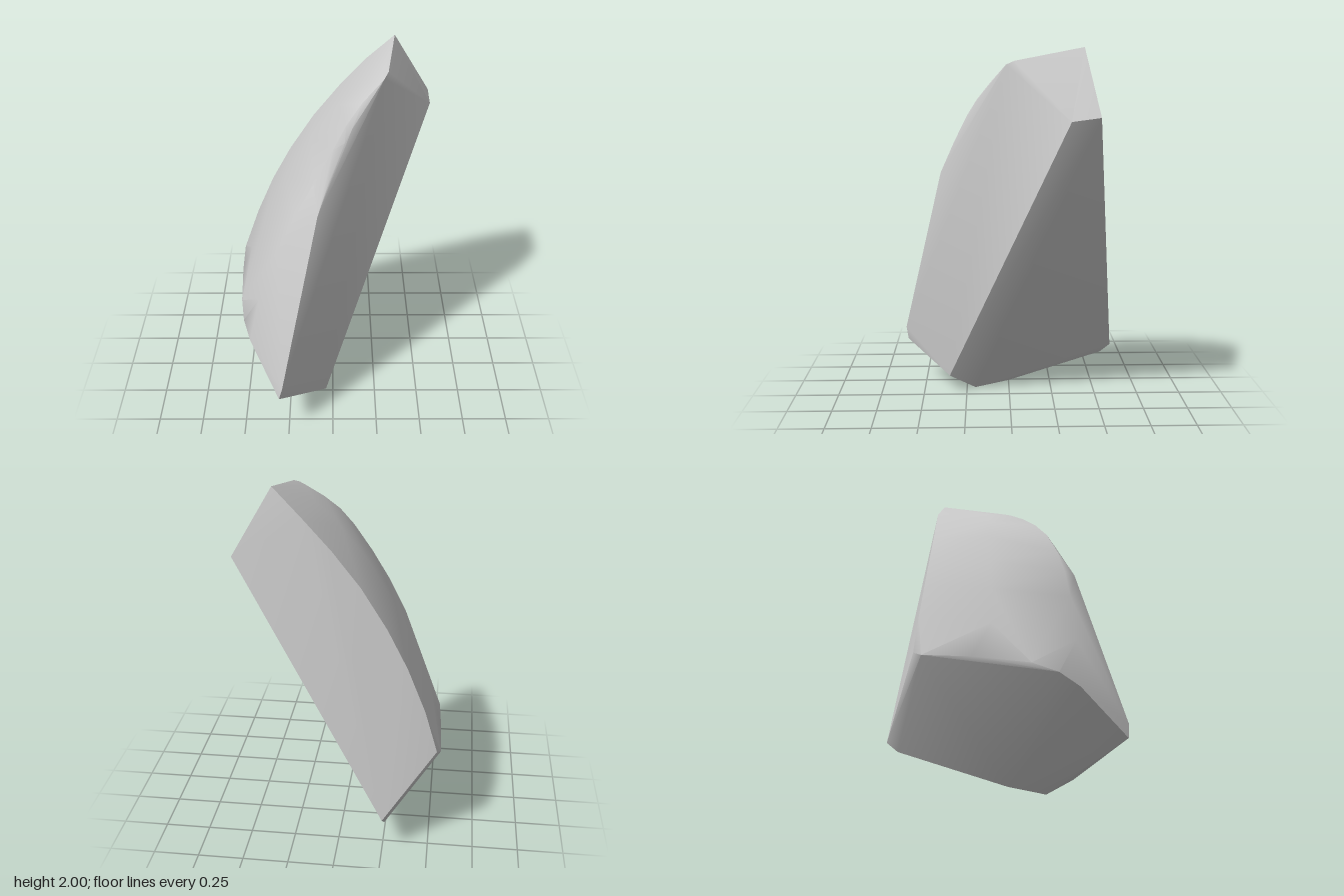
import * as THREE from 'three';
import { toCreasedNormals } from 'three/addons/utils/BufferGeometryUtils.js';
import { ConvexGeometry } from 'three/addons/geometries/ConvexGeometry.js';

// Leaning stone shard: a convex body given by its corners and curved ridges.
const corners = [
  // sloped tip
  [0.34, 2.0, -0.38], [0.545, 1.65, -0.45], [0.545, 1.63, -0.3], [0.29, 1.93, -0.02], [0.268, 1.91, 0.025],
  // foot
  [-0.25, 0.22, -0.618], [-0.26, 0.17, -0.56], [-0.18, 0.02, 0], [-0.115, 0, 0.2], [-0.04, 0.1, 0.35],
  [-0.28, 0.33, 0.62], [-0.3, 0.25, 0.61],
  // lower rim of the curved side
  [-0.53, 0.6, -0.49], [-0.55, 0.58, -0.45], [-0.545, 0.58, -0.2], [-0.53, 0.56, 0.1], [-0.51, 0.52, 0.24], [-0.47, 0.46, 0.35],
];
const backRidge = [[0.18, 1.845, -0.415], [0.04, 1.69, -0.42], [-0.11, 1.5, -0.427], [-0.25, 1.28, -0.44], [-0.36, 1.07, -0.455], [-0.46, 0.83, -0.474]];
const crown = [[0.17, 1.85, -0.1], [0.03, 1.71, -0.1], [-0.12, 1.52, -0.1], [-0.265, 1.28, -0.1], [-0.38, 1.05, -0.1], [-0.475, 0.8, -0.1]];
const frontRound = [[0.15, 1.81, 0.11], [0.07, 1.72, 0.18], [0, 1.61, 0.245], [-0.1, 1.44, 0.295], [-0.2, 1.26, 0.32], [-0.3, 1.05, 0.335], [-0.41, 0.74, 0.345]];
const frontEdge = [[0.24, 1.89, 0.04], [0.1, 1.705, 0.19], [0.06, 1.64, 0.23], [-0.015, 1.48, 0.31], [-0.08, 1.3, 0.39]];

export function createModel() {
  const stone = new THREE.MeshStandardMaterial({ color: 0xcbcbcb });
  stone.name = 'light grey stone';

  const points = [corners, backRidge, crown, frontRound, frontEdge].flat().map((p) => new THREE.Vector3(...p));
  // smooth over the curved side, sharp at the broken edges
  const shard = new THREE.Mesh(toCreasedNormals(new ConvexGeometry(points), 0.75), stone);
  shard.name = 'stoneShard';

  const group = new THREE.Group();
  group.name = 'rock';
  group.add(shard);
  return group;
}
